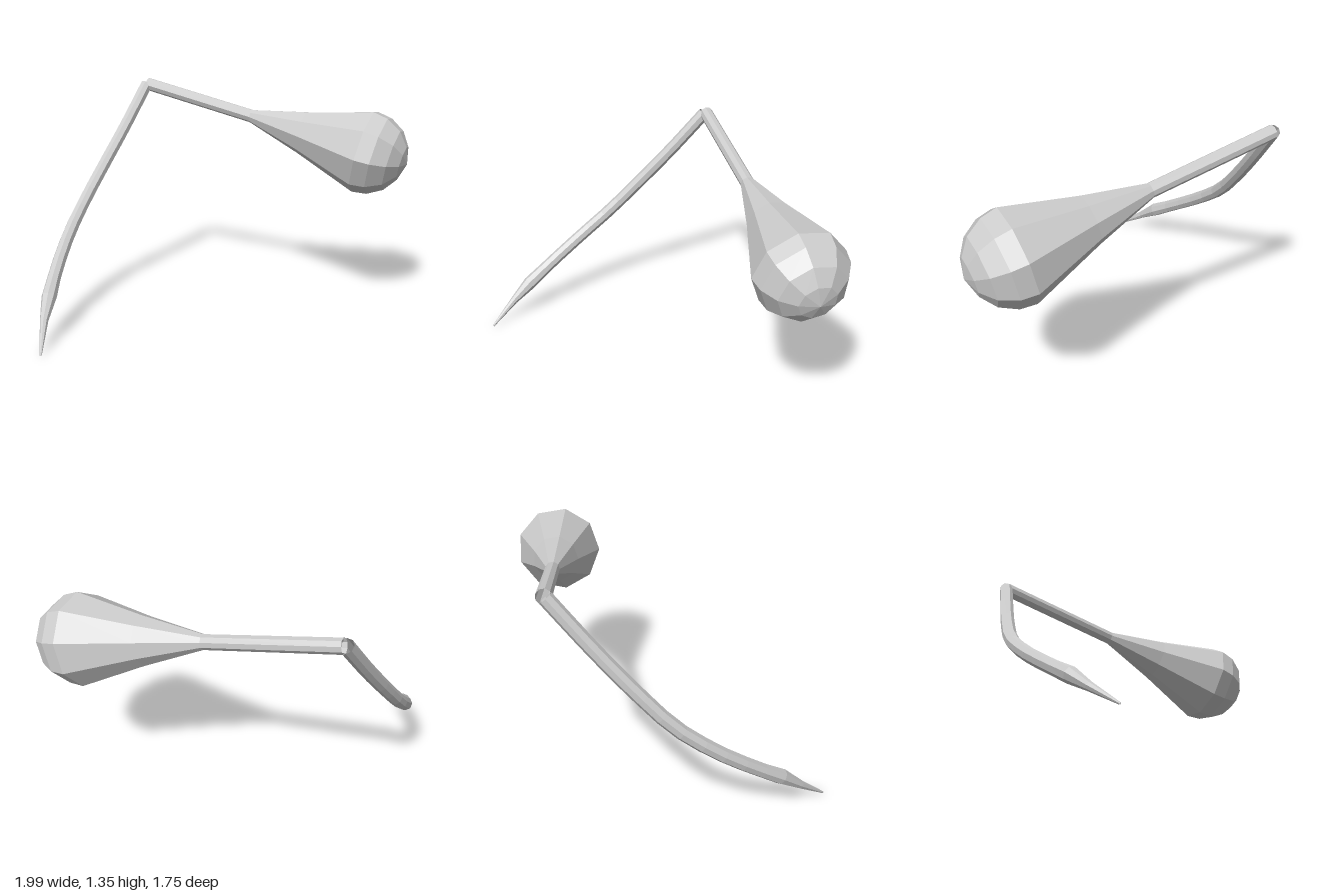
import * as THREE from 'three';

const material = new THREE.MeshStandardMaterial({ color: 0xcccccc, flatShading: true, side: THREE.DoubleSide });

// Closed faceted solid through round sections: points[i] is a centre, radii[i] its radius.
function loft(points, radii, sides, phase, ref) {
  const last = points.length - 1;
  const ring = (i, radius) => {
    const t = points[Math.min(i + 1, last)].clone().sub(points[Math.max(i - 1, 0)]).normalize();
    const e1 = ref.clone().cross(t).normalize();
    const e2 = t.clone().cross(e1);
    return Array.from({ length: sides }, (_, j) => {
      const a = phase + (j / sides) * Math.PI * 2;
      return points[i].clone().addScaledVector(e1, Math.cos(a) * radius).addScaledVector(e2, Math.sin(a) * radius);
    });
  };
  // zero-radius rings close both ends
  const rings = [ring(0, 0), ...points.map((_, i) => ring(i, radii[i])), ring(last, 0)];
  const verts = [];
  for (let i = 0; i < rings.length - 1; i++) {
    for (let j = 0; j < sides; j++) {
      const k = (j + 1) % sides;
      const [a, b, c, d] = [rings[i][j], rings[i][k], rings[i + 1][k], rings[i + 1][j]];
      if (i < rings.length - 2) verts.push(a, b, c);
      if (i > 0) verts.push(a, c, d);
    }
  }
  const geometry = new THREE.BufferGeometry().setFromPoints(verts);
  geometry.computeVertexNormals();
  return geometry;
}

export function createModel() {
  const group = new THREE.Group();
  const add = (name, geometry) => {
    const mesh = new THREE.Mesh(geometry, material);
    mesh.name = name;
    group.add(mesh);
  };

  // Straight stem flaring into a rounded bulb: [distance along axis, radius]
  const start = new THREE.Vector3(0.43, 1.318, -0.82);
  const axis = new THREE.Vector3(0.205, -0.225, 0.953).normalize();
  const along = (profile) => profile.map(([t]) => start.clone().addScaledVector(axis, t));
  const up = new THREE.Vector3(0, 1, 0);
  const phase = THREE.MathUtils.degToRad(22);
  const profile = [[0, 0.041], [0.756, 0.041], [1.11, 0.135], [1.51, 0.26],
    [1.6, 0.245], [1.69, 0.19], [1.75, 0.105], [1.778, 0.002]];
  add('stemAndBulb', loft(along(profile), profile.map((p) => p[1]), 9, phase, up));

  // Curved handle running from the elbow down to where the point begins
  const curve = new THREE.CatmullRomCurve3([
    [0.42, 1.315, -0.825], [0.2, 1.06, -0.832], [0, 0.845, -0.837], [-0.2, 0.645, -0.828],
    [-0.4, 0.485, -0.775], [-0.6, 0.337, -0.685], [-0.75, 0.228, -0.598],
  ].map((p) => new THREE.Vector3(...p)));
  const path = curve.getSpacedPoints(12);
  const radii = path.map(() => 0.04);
  radii[12] = 0.044;

  // Tapered point
  path.push(new THREE.Vector3(-0.86, 0.133, -0.53), new THREE.Vector3(-0.997, 0.007, -0.42));
  radii.push(0.024, 0.006);
  add('handle', loft(path, radii, 8, Math.PI / 8, new THREE.Vector3(0, 0, 1)));

  return group;
}
